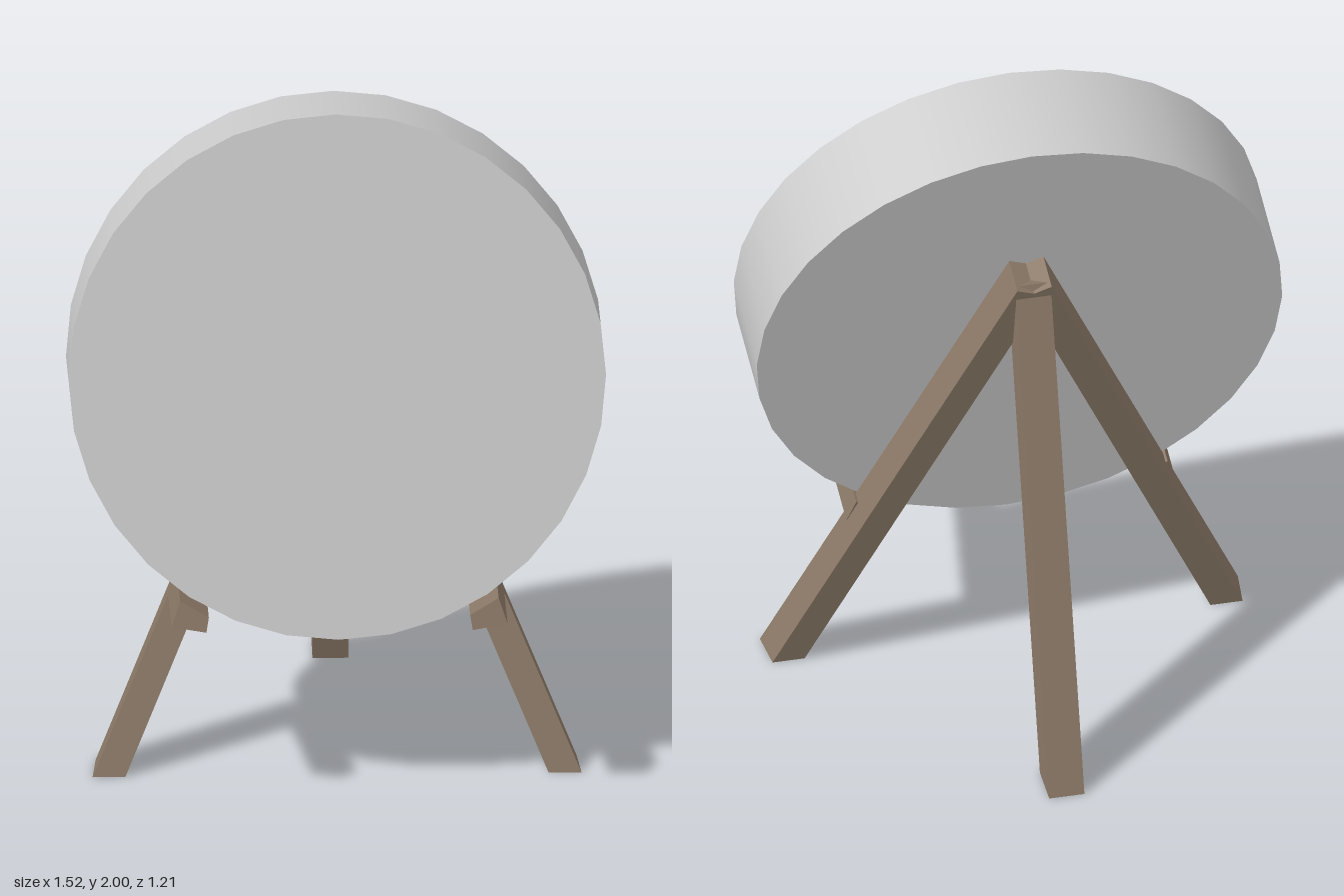
import * as THREE from 'three';
import { ConvexGeometry } from 'three/addons/geometries/ConvexGeometry.js';

const V = (x, y, z) => new THREE.Vector3(x, y, z);

export function createModel() {
  const model = new THREE.Group();
  model.name = 'targetOnStand';
  const paint = new THREE.MeshStandardMaterial({ name: 'lightGrey', color: 0xcccccc });
  const wood = new THREE.MeshStandardMaterial({ name: 'brownWood', color: 0x8b7967 });

  const add = (name, geometry, material) => {
    const mesh = new THREE.Mesh(geometry, material);
    mesh.name = name;
    model.add(mesh);
    return mesh;
  };

  // Beam square-cut at the top, and cut level with the ground at the foot
  const leg = (name, foot, top, width, depth) => {
    const axis = top.clone().sub(foot).normalize();
    const front = V(0, -axis.z, axis.y).normalize();
    const side = axis.clone().cross(front).normalize();
    const points = [];
    for (const i of [-0.5, 0.5]) {
      for (const j of [-0.5, 0.5]) {
        const p = top.clone().addScaledVector(side, i * width).addScaledVector(front, j * depth);
        points.push(p, p.clone().addScaledVector(axis, -p.y / axis.y));
      }
    }
    add(name, new ConvexGeometry(points), wood);
  };

  // Thick round disc, leaning back
  const tilt = THREE.MathUtils.degToRad(12.75);
  const disc = add('disc', new THREE.CylinderGeometry(0.761, 0.761, 0.315, 32), paint);
  disc.rotation.x = Math.PI / 2 - tilt;
  disc.position.set(0, 1.2225, 0.179);

  // Tripod: two splayed front legs and one back leg
  leg('backLeg', V(0, 0, -0.5425), V(0, 1.467, -0.0975), 0.102, 0.119);
  const pegSection = [[0.476, 0.607], [0.451, 0.68], [0.37, 0.633], [0.377, 0.59]];
  for (const s of [1, -1]) {
    const label = s > 0 ? 'left' : 'right';
    leg(label + 'FrontLeg', V(s * 0.64, 0, 0.243), V(s * 0.01, 1.48, -0.116), 0.086, 0.113);

    // Peg under the disc, running along the disc's axis into the leg
    const points = [];
    for (const [x, y] of pegSection) {
      const end = V(s * x, y, 0.585 + (0.68 - y) * Math.tan(tilt));
      points.push(end, end.clone().add(V(0, -Math.sin(tilt), -Math.cos(tilt)).multiplyScalar(0.47)));
    }
    add(label + 'Peg', new ConvexGeometry(points), wood);
  }
  return model;
}
